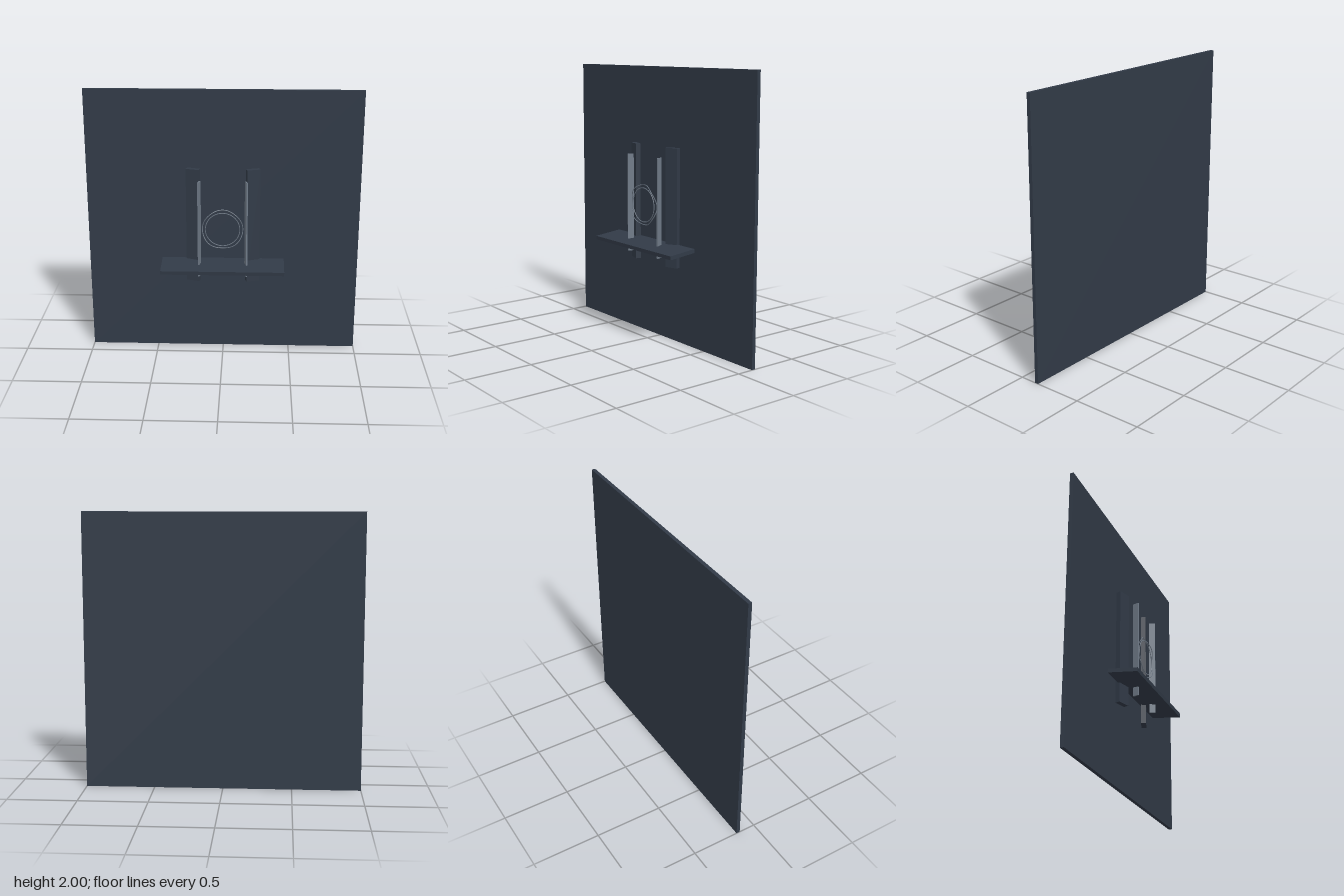
import * as THREE from 'three';

// Closed thin ring around z; its depth can ripple four times per turn
class RingCurve extends THREE.Curve {
  constructor(radius, ripple) {
    super();
    this.radius = radius;
    this.ripple = ripple;
  }
  getPoint(t, target = new THREE.Vector3()) {
    const a = t * Math.PI * 2;
    return target.set(
      this.radius * Math.cos(a),
      this.radius * Math.sin(a),
      -this.ripple * Math.cos(4 * a)
    );
  }
}

export function createModel() {
  const model = new THREE.Group();
  const slate = new THREE.MeshStandardMaterial({ name: 'slate', color: 0x313a47 });
  const paleGrey = new THREE.MeshStandardMaterial({ name: 'paleGrey', color: 0x6f7a87 });

  const add = (name, geometry, material, x, y, z) => {
    const mesh = new THREE.Mesh(geometry, material);
    mesh.name = name;
    mesh.position.set(x, y, z);
    model.add(mesh);
    return mesh;
  };

  // Large back wall
  add('backWall', new THREE.BoxGeometry(2, 2, 0.027), slate, 0, 1, -0.135);

  // Angled side panels, each with a narrow light strip in front
  for (const [side, s] of [['left', 1], ['right', -1]]) {
    add(side + 'Panel', new THREE.BoxGeometry(0.098, 0.865, 0.037), slate,
      s * 0.2175, 1.003, -0.0625).rotation.y = s * 0.3;
    add(side + 'Strip', new THREE.BoxGeometry(0.01, 0.725, 0.045), paleGrey,
      s * 0.17, 1.003, 0.023).rotation.y = s * 0.3;
  }

  // Sloping shelf
  add('shelf', new THREE.BoxGeometry(0.9, 0.028, 0.217), slate, 0, 0.718, 0.034).rotation.x = 0.11;

  // Two fine concentric rings
  for (const [name, radius, ripple] of [['outerRing', 0.147, 0.01], ['innerRing', 0.125, 0]]) {
    add(name, new THREE.TubeGeometry(new RingCurve(radius, ripple), 96, 0.003, 6, true),
      paleGrey, 0, 1.007, 0.034);
  }

  return model;
}
